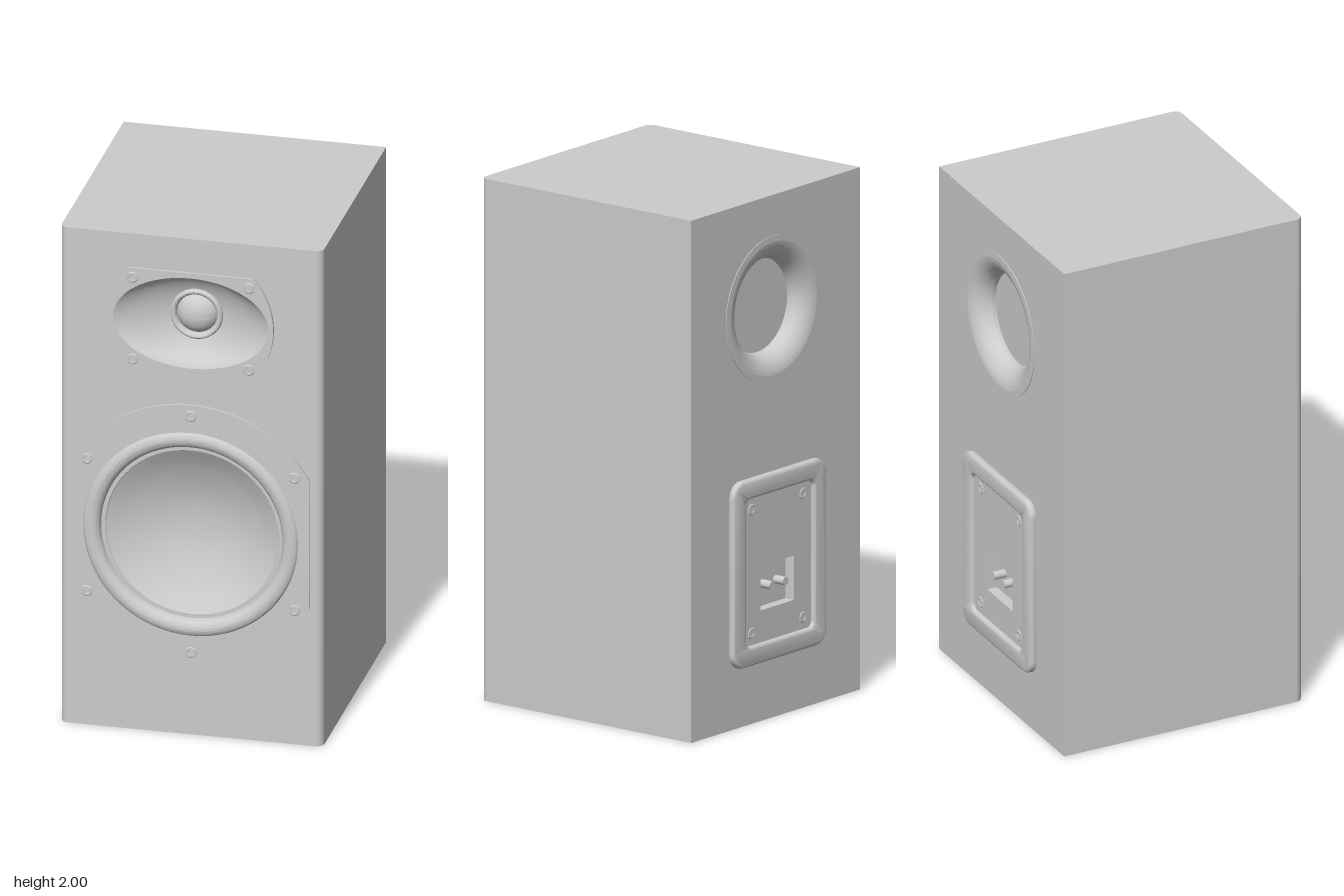
import * as THREE from 'three';
import { toCreasedNormals } from 'three/addons/utils/BufferGeometryUtils.js';

const material = new THREE.MeshStandardMaterial({ color: 0xcccccc, side: THREE.DoubleSide });

function add(parent, name, geometry, x = 0, y = 0, z = 0) {
  const mesh = new THREE.Mesh(geometry, material);
  mesh.name = name;
  mesh.position.set(x, y, z);
  parent.add(mesh);
  return mesh;
}

function subgroup(parent, name, x, y, z) {
  const g = new THREE.Group();
  g.name = name;
  g.position.set(x, y, z);
  parent.add(g);
  return g;
}

// Profile of [radius, z] pairs turned about the z axis
function revolve(profile, smooth = 0, segments = 72) {
  let pts = profile.map(([r, z]) => new THREE.Vector2(r, z));
  if (smooth) pts = new THREE.SplineCurve(pts).getPoints(smooth);
  pts.forEach(p => { p.x = Math.max(p.x, 0); });
  return toCreasedNormals(new THREE.LatheGeometry(pts, segments).rotateX(Math.PI / 2), 0.6);
}

function roundedRect(w, h, r, Type = THREE.Shape) {
  const s = new Type(), P = Math.PI, x = w / 2 - r, y = h / 2 - r;
  s.absarc(x, y, r, 0, P / 2);
  s.absarc(-x, y, r, P / 2, P);
  s.absarc(-x, -y, r, P, P * 1.5);
  s.absarc(x, -y, r, P * 1.5, P * 2);
  s.closePath();
  return s;
}

function rect(x0, x1, y0, y1, Type = THREE.Shape) {
  return new Type([[x0, y0], [x1, y0], [x1, y1], [x0, y1]].map(p => new THREE.Vector2(...p)));
}

function ellipse(x, y, rx, ry = rx) {
  return new THREE.Path().absellipse(x, y, rx, ry, 0, Math.PI * 2);
}

function plate(shape, depth, bevel = 0) {
  const geo = new THREE.ExtrudeGeometry(shape, {
    depth: depth - bevel, curveSegments: 36, bevelEnabled: bevel > 0,
    bevelThickness: bevel, bevelSize: bevel, bevelOffset: -bevel, bevelSegments: 4,
  });
  return toCreasedNormals(geo, 0.6);
}

function screws(parent, spots, z) {
  const geo = revolve([[0, -0.002], [0.01, -0.002], [0.012, 0.003], [0.019, 0.003], [0.022, 0]], 0, 16);
  spots.forEach(([x, y]) => add(parent, 'screw', geo, x, y, z));
}

const WOOFER_Y = 0.813, TWEETER_Y = 1.664, PORT_Y = 1.565, PORT_X = 0.015;
const TERMINAL_Y = 0.587, CUP_Y = -0.075, PLATE = 0.012;

// Cabinet: walls with rounded front edges, and openings for the fitted parts
function cabinet(root) {
  const g = subgroup(root, 'cabinet', 0, 0, 0), R = 0.03, N = 8;
  const corner = [[0.5, -0.5]];
  for (let i = 0; i <= N; i++) {
    const a = i / N * Math.PI / 2;
    corner.push([0.5 - R + R * Math.cos(a), 0.5 - R + R * Math.sin(a)]);
  }
  for (const side of [1, -1]) {
    const line = side > 0 ? [...corner].reverse() : corner;
    const geo = new THREE.PlaneGeometry(1, 2, line.length - 1, 1);
    const p = geo.attributes.position;
    for (let i = 0; i < p.count; i++) {
      const [x, z] = line[i % line.length];
      p.setXYZ(i, side * x, p.getY(i) + 1, z);
    }
    geo.computeVertexNormals();
    add(g, side > 0 ? 'leftWall' : 'rightWall', geo);
  }

  const front = rect(-0.47, 0.47, 0, 2);
  front.holes.push(ellipse(0, WOOFER_Y, 0.4), ellipse(0, TWEETER_Y, 0.296, 0.182));
  add(g, 'frontWall', new THREE.ShapeGeometry(front, 36), 0, 0, 0.5);

  const back = rect(-0.5, 0.5, 0, 2);
  back.holes.push(ellipse(-PORT_X, PORT_Y, 0.265));
  const cy = TERMINAL_Y + CUP_Y;
  back.holes.push(rect(-0.105, 0.105, cy - 0.09, cy + 0.09, THREE.Path));
  add(g, 'backWall', new THREE.ShapeGeometry(back, 36).rotateY(Math.PI), 0, 0, -0.5);

  // Shape y becomes -z for the top and +z for the bottom
  const plan = sign => new THREE.Shape([
    ...corner.map(([x, z]) => new THREE.Vector2(x, sign * z)),
    ...[...corner].reverse().map(([x, z]) => new THREE.Vector2(-x, sign * z)),
  ]);
  add(g, 'top', new THREE.ShapeGeometry(plan(-1)).rotateX(-Math.PI / 2), 0, 2, 0);
  add(g, 'bottom', new THREE.ShapeGeometry(plan(1)).rotateX(Math.PI / 2));
}

function woofer(root) {
  const g = subgroup(root, 'woofer', 0, WOOFER_Y, 0.5), P = Math.PI;
  const R = 0.52, a = Math.acos(0.45 / R);
  const frame = new THREE.Shape();
  frame.absarc(0, 0, R, a, P - a);
  frame.absarc(0, 0, R, P + a, 2 * P - a);
  frame.closePath();
  frame.holes.push(ellipse(0, 0, 0.4));
  add(g, 'wooferFrame', plate(frame, PLATE));

  add(g, 'surround', revolve([[0.345, -0.012], [0.348, 0.004], [0.358, 0.018], [0.376, 0.026],
    [0.392, 0.025], [0.404, 0.019], [0.41, 0.01]], 24));
  add(g, 'coneRim', revolve([[0.328, -0.012], [0.33, -0.008], [0.346, -0.008]]));
  add(g, 'cone', revolve([[0, -0.115], [0.08, -0.109], [0.16, -0.09], [0.25, -0.055], [0.328, -0.012]], 24));
  screws(g, [[0, 0.477], [0, -0.477], [0.395, 0.267], [-0.395, 0.267],
    [0.395, -0.267], [-0.395, -0.267]], PLATE);
}

function tweeter(root) {
  const g = subgroup(root, 'tweeter', 0, TWEETER_Y, 0.5), P = Math.PI;
  const R = 0.314, H = 0.202, b = Math.asin(H / R);
  const face = new THREE.Shape();
  face.absarc(0, 0, R, -b, b);
  face.absarc(0, 0, R, P - b, P + b);
  face.closePath();
  face.holes.push(ellipse(0, 0, 0.296, 0.182));
  add(g, 'tweeterPlate', plate(face, PLATE));

  // Horn flattens from a round throat to an elliptical mouth
  const horn = revolve([[0.1, -0.085], [0.14, -0.07], [0.2, -0.043], [0.25, -0.016], [0.296, PLATE]], 20);
  const p = horn.attributes.position;
  for (let i = 0; i < p.count; i++) {
    const t = (Math.hypot(p.getX(i), p.getY(i)) - 0.1) / 0.196;
    p.setY(i, p.getY(i) * (1 - t * (1 - 0.182 / 0.296)));
  }
  add(g, 'horn', toCreasedNormals(horn, 0.6));

  add(g, 'domeRing', revolve([[0.076, -0.09], [0.08, -0.076], [0.09, -0.07], [0.098, -0.075], [0.1, -0.088]], 16));
  add(g, 'dome', revolve([[0, -0.05], [0.025, -0.053], [0.05, -0.063], [0.068, -0.078], [0.077, -0.092]], 16));
  screws(g, [[0.222, 0.165], [-0.222, 0.165], [0.222, -0.165], [-0.222, -0.165]], PLATE);
}

// Flared port, turned to face the back
function port(root) {
  const g = subgroup(root, 'port', PORT_X, PORT_Y, -0.5);
  g.rotation.y = Math.PI;
  add(g, 'portFlange', revolve([[0.28, 0], [0.28, 0.003], [0.255, 0.003]]));
  add(g, 'portFlare', revolve([[0.255, 0.003], [0.235, -0.002], [0.21, -0.016], [0.19, -0.038], [0.18, -0.062]], 20));
  add(g, 'portTube', revolve([[0.18, -0.062], [0.18, -0.078], [0, -0.078]]));
}

// Terminal plate with sunken cup and two posts, turned to face the back
function terminals(root) {
  const g = subgroup(root, 'terminals', 0, TERMINAL_Y, -0.5);
  g.rotation.y = Math.PI;
  const frame = roundedRect(0.55, 0.715, 0.06);
  frame.holes.push(roundedRect(0.4, 0.565, 0.025, THREE.Path));
  add(g, 'terminalFrame', plate(frame, 0.025, 0.012));

  const panel = rect(-0.215, 0.215, -0.297, 0.297);
  panel.holes.push(rect(-0.1, 0.1, CUP_Y - 0.085, CUP_Y + 0.085, THREE.Path));
  add(g, 'terminalPanel', plate(panel, 0.008));

  const cup = rect(-0.105, 0.105, -0.09, 0.09);
  cup.holes.push(rect(-0.1, 0.1, -0.085, 0.085, THREE.Path));
  add(g, 'cupWalls', plate(cup, 0.035), 0, CUP_Y, -0.035);
  add(g, 'cupFloor', new THREE.BoxGeometry(0.21, 0.18, 0.005), 0, CUP_Y, -0.035);
  for (const x of [-0.04, 0.04]) {
    add(g, 'post', new THREE.CylinderGeometry(0.016, 0.016, 0.05, 20).rotateX(Math.PI / 2), x, CUP_Y, -0.009);
  }
  screws(g, [[0.152, 0.237], [-0.152, 0.237], [0.152, -0.237], [-0.152, -0.237]], 0.008);
}

export function createModel() {
  const root = new THREE.Group();
  root.name = 'loudspeaker';
  [cabinet, woofer, tweeter, port, terminals].forEach(build => build(root));
  return root;
}
